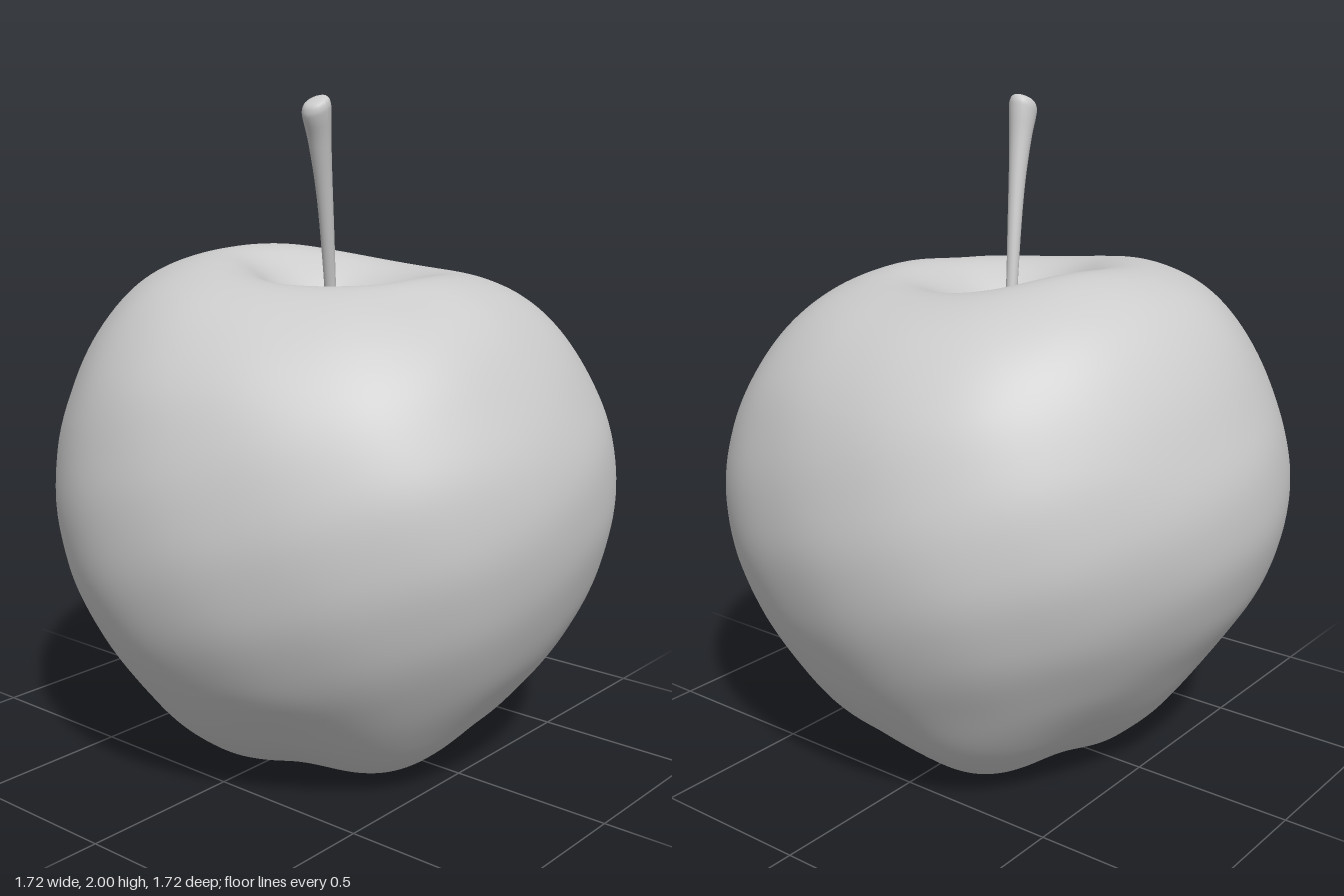
import * as THREE from 'three';

const skin = new THREE.MeshStandardMaterial({ color: 0xcccccc, roughness: 0.8 });
const thin = new THREE.MeshStandardMaterial({ color: 0xcccccc, roughness: 0.8, side: THREE.DoubleSide });
const { smoothstep, lerp, clamp, degToRad } = THREE.MathUtils;

// Fruit outline from calyx to stem hollow: height, then radius towards +x, +z, -x, -z
const ROWS = [
  [0.15, 0, 0, 0, 0],
  [0.13, 0.06, 0.06, 0.06, 0.06],
  [0.08, 0.13, 0.13, 0.13, 0.12],
  [0.025, 0.2, 0.2, 0.18, 0.18],
  [0.0, 0.31, 0.3, 0.27, 0.25],
  [0.035, 0.41, 0.41, 0.37, 0.34],
  [0.1, 0.5, 0.5, 0.47, 0.42],
  [0.2, 0.6, 0.59, 0.58, 0.52],
  [0.4, 0.735, 0.735, 0.735, 0.67],
  [0.6, 0.825, 0.825, 0.825, 0.79],
  [0.8, 0.862, 0.865, 0.855, 0.85],
  [1.0, 0.842, 0.845, 0.835, 0.843],
  [1.2, 0.77, 0.75, 0.765, 0.77],
  [1.34, 0.655, 0.635, 0.65, 0.66],
  [1.425, 0.52, 0.51, 0.52, 0.53],
  [1.465, 0.36, 0.36, 0.36, 0.37],
  [1.43, 0.22, 0.23, 0.22, 0.24],
  [1.36, 0.12, 0.13, 0.13, 0.14],
  [1.25, 0.055, 0.055, 0.06, 0.06],
  [1.18, 0, 0, 0, 0],
];

// Raised parts of the shoulder: direction in degrees, height
const SHOULDERS = [[292, 0.065], [225, 0.045], [90, 0.02]];

function makeFruit(rings = 140, sides = 160) {
  const curves = [1, 2, 3, 4].map((c) =>
    new THREE.CatmullRomCurve3(ROWS.map((r) => new THREE.Vector3(r[c], r[0], 0))));
  const pos = [], index = [];
  for (let i = 0; i <= rings; i++) {
    const section = curves.map((c) => c.getPoint(i / rings));
    for (let j = 0; j < sides; j++) {
      // blend the four outlines around the axis
      const a = (j / sides) * Math.PI * 2, q = (j / sides) * 4, k = Math.floor(q);
      const s = (1 - Math.cos(Math.PI * (q - k))) / 2;
      const p = section[k].clone().lerp(section[(k + 1) % 4], s);
      let r = Math.max(0, p.x), y = p.y;
      const top = smoothstep(y, 1.1, 1.45) * smoothstep(r, 0.05, 0.3);
      const base = 1 - smoothstep(y, 0.0, 0.2);
      // five soft lobes, strongest at the foot, and slight unevenness of the skin
      const lobe = Math.cos(5 * a + 2.3);
      r *= 1 + lobe * lerp(0.055, 0.012, smoothstep(y, 0, 0.4));
      r += 0.0012 * Math.sin(11 * a + 9 * y) * Math.sin(17 * y - 4 * a) * smoothstep(r, 0.3, 0.6);
      for (const [deg, height] of SHOULDERS) {
        y += height * top * Math.exp(3 * (Math.cos(a - degToRad(deg)) - 1));
      }
      // foot stands on its lobes; wrinkled calyx hollow
      y += 0.006 * base * (1 - lobe) * smoothstep(r, 0.1, 0.25);
      y += 0.012 * base * Math.cos(10 * a) * smoothstep(r, 0.02, 0.08) * (1 - smoothstep(r, 0.1, 0.2));
      const x = r * Math.cos(a), z = r * Math.sin(a);
      // shallow dent on the front shoulder
      y -= 0.015 * top * Math.exp(-((x + 0.2) ** 2 + (z - 0.45) ** 2) / 0.015);
      pos.push(x, Math.max(0, y), z);
      if (i < rings) {
        const n = (j + 1) % sides, lo = i * sides, hi = lo + sides;
        index.push(lo + j, hi + j, lo + n, hi + j, hi + n, lo + n);
      }
    }
  }
  const g = new THREE.BufferGeometry();
  g.setAttribute('position', new THREE.Float32BufferAttribute(pos, 3));
  g.setIndex(index);
  g.computeVertexNormals();
  return g;
}

// Stem: a turned rod with a knobbed tip, bent along a curve
function makeStem() {
  const outline = [[0, 1.16], [0.045, 1.17], [0.026, 1.23], [0.018, 1.4], [0.021, 1.6], [0.026, 1.75],
    [0.034, 1.87], [0.041, 1.94], [0.041, 1.968], [0.03, 1.985], [0, 1.99]];
  const curve = new THREE.SplineCurve(outline.map(([r, y]) => new THREE.Vector2(r, y)));
  const profile = curve.getPoints(60);
  profile.forEach((p) => p.set(Math.max(0, p.x), clamp(p.y, 1.16, 1.99)));
  const g = new THREE.LatheGeometry(profile, 20);
  const path = new THREE.CatmullRomCurve3([
    new THREE.Vector3(0, 1.16, 0.01), new THREE.Vector3(-0.045, 1.44, 0.03),
    new THREE.Vector3(-0.1, 1.72, 0.055), new THREE.Vector3(-0.168, 2, 0.078)]);
  const p = g.attributes.position;
  for (let i = 0; i < p.count; i++) {
    const y = p.getY(i), c = path.getPoint(clamp((y - 1.16) / 0.84, 0, 1));
    // the tip is cut at a slant
    const slant = 0.5 * p.getX(i) * smoothstep(y, 1.85, 1.97);
    p.setXYZ(i, p.getX(i) + c.x, Math.min(2, y + slant), p.getZ(i) + c.z);
  }
  g.computeVertexNormals();
  return g;
}

// Dried sepal: a pointed, folded leaf curling out of the calyx hollow
function makeSepal(length, curl) {
  const g = new THREE.PlaneGeometry(1, 1, 6, 10);
  const p = g.attributes.position;
  for (let i = 0; i < p.count; i++) {
    const u = p.getX(i) * 2, t = p.getY(i) + 0.5;
    const w = 0.042 * (1 - t * t) + 0.002;
    p.setXYZ(i, 0.02 + length * t, lerp(0.14, 0.06, Math.sin(t * curl)) + 0.015 * u * u, u * w);
  }
  g.computeVertexNormals();
  return g;
}

export function createModel() {
  const model = new THREE.Group();
  model.name = 'apple';
  const add = (parent, name, geometry, material) => {
    const mesh = new THREE.Mesh(geometry, material);
    mesh.name = name;
    parent.add(mesh);
    return mesh;
  };
  add(model, 'fruit', makeFruit(), skin);
  add(model, 'stem', makeStem(), skin);

  const calyx = new THREE.Group();
  calyx.name = 'calyx';
  for (let i = 0; i < 5; i++) {
    const sepal = add(calyx, 'sepal', makeSepal(0.08 + 0.012 * (i % 3), 1.5 + 0.4 * (i % 2)), thin);
    sepal.rotation.y = (i / 5) * Math.PI * 2 + 0.3;
  }
  model.add(calyx);
  return model;
}
